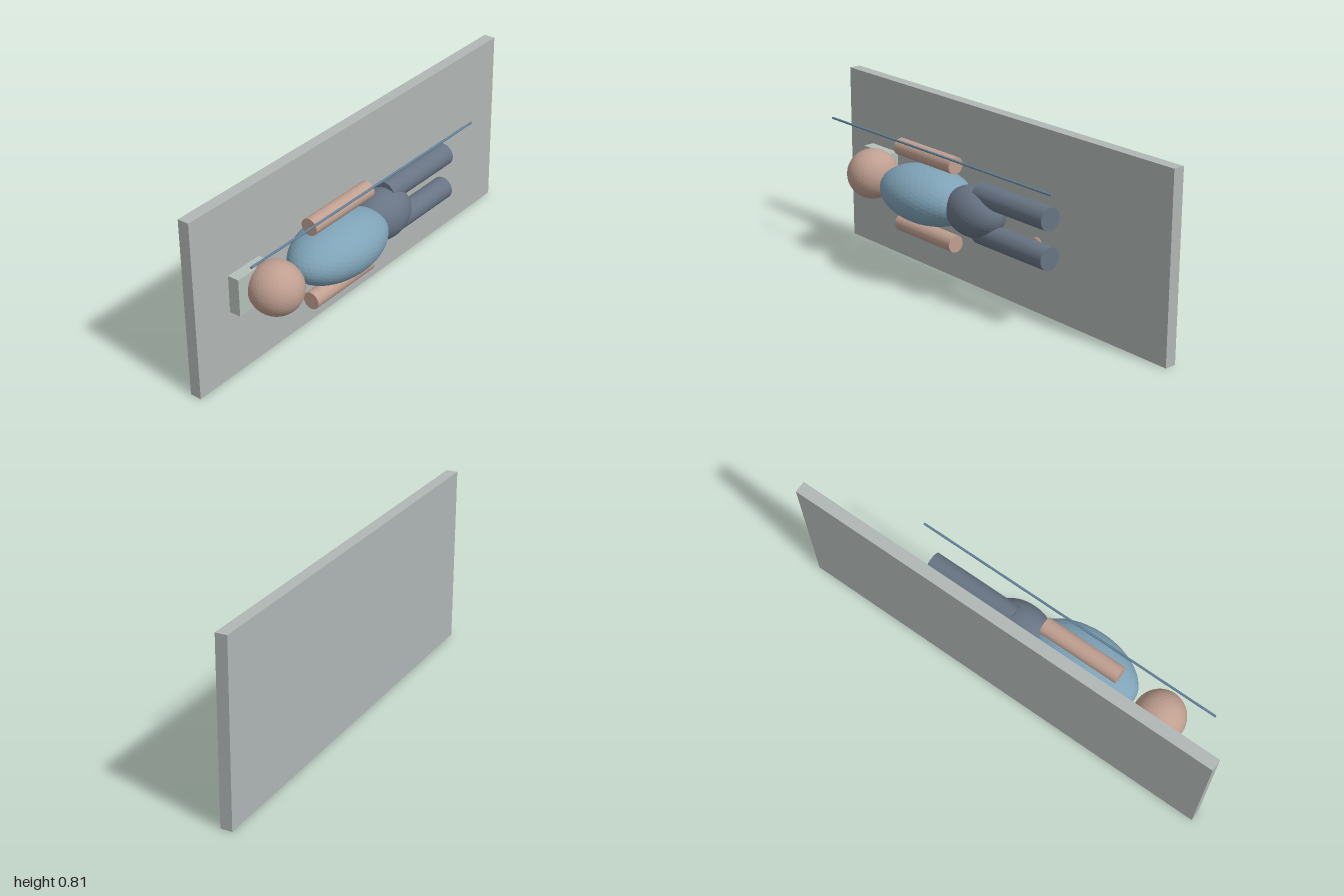
import * as THREE from 'three';

export function createModel() {
  const model = new THREE.Group();
  model.name = 'figureOnBoard';

  const mat = (name, color) => {
    const m = new THREE.MeshStandardMaterial({ color, flatShading: true });
    m.name = name;
    return m;
  };
  const boardGrey = mat('boardGrey', 0xb0b7b5);
  const pillowGrey = mat('pillowGrey', 0xb4c0ba);
  const skin = mat('skin', 0xbf9f90);
  const shirtBlue = mat('shirtBlue', 0x7fa3b7);
  const trouserSlate = mat('trouserSlate', 0x687484);
  const poleBlue = mat('poleBlue', 0x628098);
  const discTan = mat('discTan', 0xb59a86);

  const add = (name, geometry, material, x, y, z) => {
    const mesh = new THREE.Mesh(geometry, material);
    mesh.name = name;
    mesh.position.set(x, y, z);
    model.add(mesh);
    return mesh;
  };
  // faceted ellipsoid with three radii
  const ellipsoid = (rx, ry, rz, detail = 7) =>
    new THREE.IcosahedronGeometry(1, detail).scale(rx, ry, rz);
  // cylinder lying along x
  const rod = (radius, length, sides = 32) =>
    new THREE.CylinderGeometry(radius, radius, length, sides).rotateZ(Math.PI / 2);

  // upright board and the block behind the head
  add('board', new THREE.BoxGeometry(2, 0.807, 0.052), boardGrey, 0, 0.4035, -0.144);
  add('pillow', new THREE.BoxGeometry(0.18, 0.168, 0.052), pillowGrey, -0.73, 0.405, -0.079);

  // body
  add('head', ellipsoid(0.113, 0.113, 0.116), skin, -0.675, 0.405, 0.01);
  add('torso', ellipsoid(0.262, 0.125, 0.161), shirtBlue, -0.29, 0.405, 0.01);
  add('pelvis', ellipsoid(0.153, 0.111, 0.107), trouserSlate, 0.012, 0.405, -0.001);

  // limbs, mirrored above and below the body axis
  for (const [side, s] of [['upper', 1], ['lower', -1]]) {
    add(side + 'Arm', rod(0.038, 0.37), skin, -0.285, 0.405 + s * 0.174, 0.011);
    add(side + 'Leg', rod(0.05, 0.42), trouserSlate, 0.25, 0.405 + s * 0.084, -0.006);
  }

  // long thin pole beside the body
  add('pole', rod(0.005, 1.43, 16), poleBlue, -0.165, 0.629, 0.073);

  // small flat discs between body and board
  const discs = [[-0.675, 0.306, -0.105], [-0.315, 0.275, -0.096], [0.01, 0.293, -0.101], [0.272, 0.31, -0.109]];
  discs.forEach(([x, y, z], i) =>
    add('disc' + (i + 1), ellipsoid(0.029, 0.028, 0.01, 3), discTan, x, y, z));

  return model;
}
